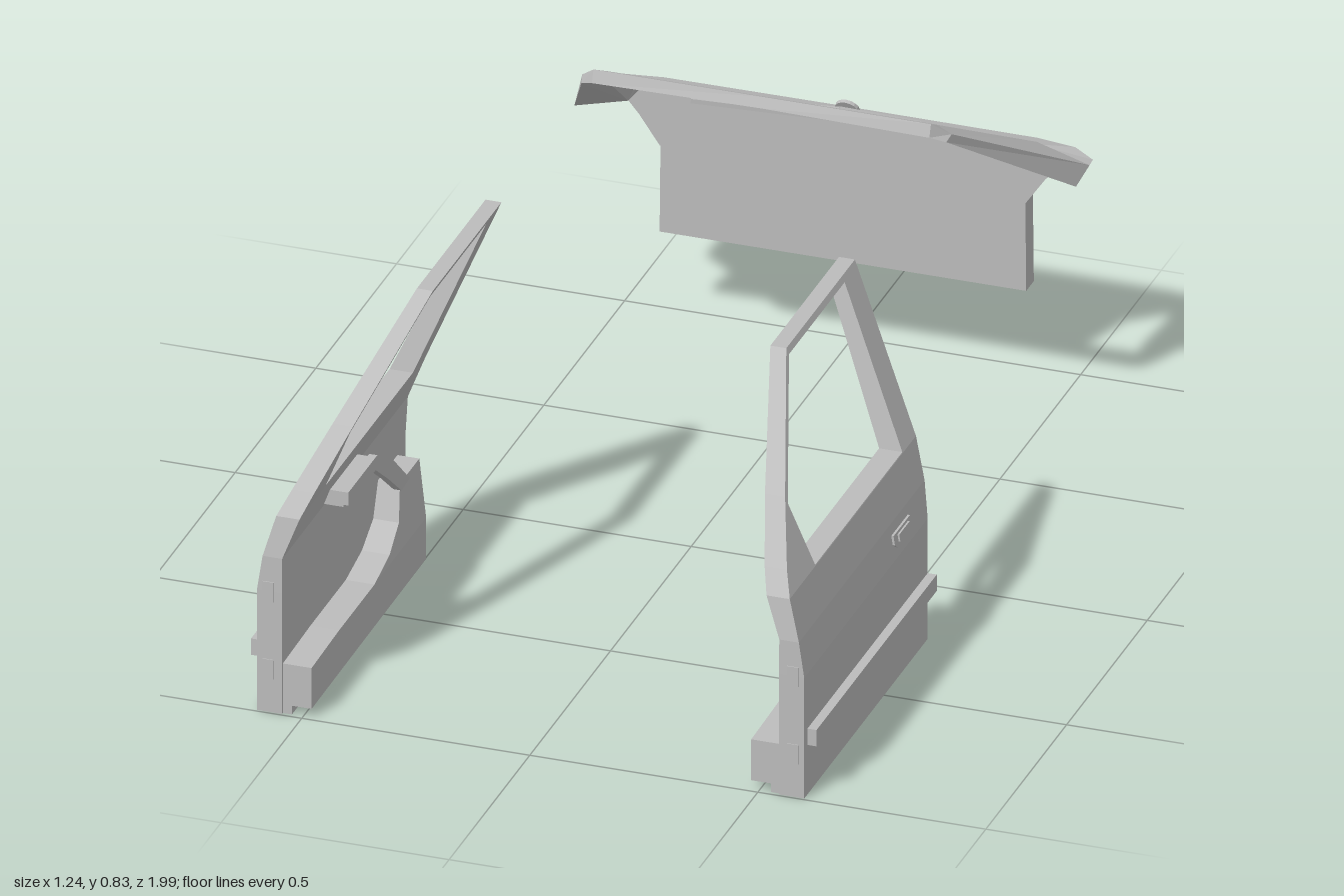
import * as THREE from 'three';

const grey = new THREE.MeshStandardMaterial({ color: 0xbcbcbc, side: THREE.DoubleSide });
grey.name = 'plain grey';

function mesh(name, geometry) {
  const g = geometry.index ? geometry.toNonIndexed() : geometry;
  g.computeVertexNormals();
  const m = new THREE.Mesh(g, grey);
  m.name = name;
  return m;
}

// Extrudes an outline to unit depth, then places every corner with map(u, v, depth).
function prism(name, outline, map, hole) {
  const shape = new THREE.Shape(outline.map(p => new THREE.Vector2(...p)));
  if (hole) shape.holes.push(new THREE.Path(hole.map(p => new THREE.Vector2(...p))));
  const g = new THREE.ExtrudeGeometry(shape, { depth: 1, bevelEnabled: false });
  const pos = g.attributes.position;
  for (let i = 0; i < pos.count; i++) pos.setXYZ(i, ...map(pos.getX(i), pos.getY(i), pos.getZ(i)));
  return mesh(name, g);
}

// Joins closed cross-sections into a closed ring.
function ringLoft(name, sections) {
  const n = sections[0].length, index = [];
  sections.forEach((_, i) => {
    const a = i * n, b = ((i + 1) % sections.length) * n;
    for (let j = 0; j < n; j++) {
      const k = (j + 1) % n;
      index.push(a + j, b + j, b + k, a + j, b + k, a + k);
    }
  });
  const g = new THREE.BufferGeometry();
  g.setAttribute('position', new THREE.Float32BufferAttribute(sections.flat(2), 3));
  g.setIndex(index);
  return mesh(name, g);
}

// Straight bar between two points.
function bar(name, from, to, width, height) {
  const a = new THREE.Vector3(...from), b = new THREE.Vector3(...to);
  const m = mesh(name, new THREE.BoxGeometry(width, height, a.distanceTo(b)));
  m.position.copy(a).lerp(b, 0.5);
  m.lookAt(b);
  return m;
}

// Piecewise linear lookup in a list of [key, value].
function lookup(table, t) {
  let i = 0;
  while (i < table.length - 2 && t > table[i + 1][0]) i++;
  const [a, b] = [table[i], table[i + 1]];
  return THREE.MathUtils.lerp(a[1], b[1], (t - a[0]) / (b[0] - a[0]));
}

// Door skin and lining: x by height.
const SKIN = [[0, 0.6], [0.28, 0.6], [0.36, 0.588], [0.45, 0.563], [0.8, 0.405]];
const LINING = [[0, 0.545], [0.37, 0.545], [0.45, 0.512], [0.8, 0.37]];
const FRONT = [[0, 0.995], [0.355, 0.995], [0.45, 0.98]];
const REAR = [[0, 0.23], [0.285, 0.23], [0.8, 0.13]];

function door() {
  const g = new THREE.Group();
  const shell = (z, y, d) => [THREE.MathUtils.lerp(lookup(SKIN, y), lookup(LINING, y), d), y, z];
  const slab = (outer, inner) => (z, y, d) => [THREE.MathUtils.lerp(outer, inner, d), y, z];

  // lower body in horizontal bands that follow the curved skin
  const levels = [0, 0.28, 0.36, 0.45];
  for (let i = 0; i < levels.length - 1; i++) {
    const [a, b] = [levels[i], levels[i + 1]];
    g.add(prism('doorPanel', [[lookup(REAR, a), a], [lookup(FRONT, a), a],
      [lookup(FRONT, b), b], [lookup(REAR, b), b]], shell));
  }
  // window frame
  g.add(prism('windowFrame',
    [[0.198, 0.45], [0.98, 0.45], [0.94, 0.495], [0.82, 0.598], [0.555, 0.8], [0.13, 0.8]], shell,
    [[0.28, 0.452], [0.21, 0.787], [0.555, 0.787], [0.82, 0.585], [0.82, 0.452]]));

  // rubbing strip and outer handle
  g.add(prism('sideStrip', [[0.23, 0.115], [0.975, 0.115], [0.975, 0.153], [0.23, 0.153]], slab(0.62, 0.598)));
  g.add(prism('outerHandle', [[0.335, 0.305], [0.42, 0.305], [0.432, 0.315], [0.432, 0.336], [0.33, 0.336], [0.33, 0.315]],
    (z, y, d) => [lookup(SKIN, y) + 0.005 - d * 0.008, y, z]));
  g.add(prism('handleLever', [[0.345, 0.314], [0.41, 0.314], [0.41, 0.33], [0.345, 0.33]],
    (z, y, d) => [lookup(SKIN, y) + 0.009 - d * 0.008, y, z]));

  // inner sill, storage pocket and raised armrest
  g.add(prism('innerSill', [[0.23, 0], [0.99, 0], [0.99, 0.025], [0.23, 0.025]], slab(0.55, 0.525)));
  g.add(prism('doorPocket', [[0.28, 0.025], [0.99, 0.02], [0.99, 0.115], [0.82, 0.12], [0.28, 0.12]], slab(0.55, 0.482)));
  g.add(prism('armrest', [[0.28, 0.12], [0.6, 0.12], [0.5, 0.14], [0.43, 0.18], [0.4, 0.255], [0.28, 0.255]],
    (z, y, d) => [THREE.MathUtils.lerp(0.55, lookup([[0.12, 0.482], [0.255, 0.497]], y), d), y, z]));

  // pull handle curving down to the armrest
  g.add(prism('pullHandle', [[0.74, 0.37], [0.74, 0.4], [0.56, 0.4], [0.46, 0.34], [0.36, 0.25],
    [0.41, 0.245], [0.49, 0.31], [0.57, 0.37]], slab(0.508, 0.49)));
  g.add(prism('pullHandleMount', [[0.57, 0.365], [0.74, 0.365], [0.74, 0.4], [0.57, 0.4]], slab(0.55, 0.5)));

  // hinges on the front edge
  for (const y of [0.1, 0.28]) {
    const hinge = mesh('hinge', new THREE.BoxGeometry(0.025, 0.045, 0.008));
    hinge.position.set(0.575, y, 0.993);
    g.add(hinge);
  }
  return g;
}

function tailgate() {
  const g = new THREE.Group();
  g.name = 'tailgate';
  // window surround: outer edge, hole edge, hole underside, outer underside
  const half = [
    [[0, 0.832, -0.44], [0, 0.806, -0.49], [0, 0.798, -0.485], [0, 0.81, -0.43]],
    [[0.37, 0.832, -0.44], [0.355, 0.806, -0.49], [0.355, 0.798, -0.485], [0.37, 0.805, -0.43]],
    [[0.405, 0.8, -0.47], [0.362, 0.8, -0.5], [0.365, 0.79, -0.49], [0.4, 0.79, -0.45]],
    [[0.555, 0.545, -0.9], [0.436, 0.574, -0.91], [0.45, 0.532, -0.88], [0.55, 0.528, -0.83]],
    [[0.55, 0.54, -0.935], [0.434, 0.562, -0.92], [0.44, 0.54, -0.92], [0.535, 0.528, -0.91]],
    [[0.5, 0.545, -0.967], [0.41, 0.56, -0.922], [0.41, 0.545, -0.92], [0.49, 0.528, -0.94]],
    [[0.41, 0.54, -0.99], [0.35, 0.56, -0.925], [0.35, 0.545, -0.92], [0.4, 0.528, -0.94]],
    [[0, 0.54, -0.992], [0, 0.56, -0.925], [0, 0.545, -0.92], [0, 0.528, -0.94]],
  ];
  const other = half.slice(1, -1).reverse().map(s => s.map(([x, y, z]) => [-x, y, z]));
  g.add(ringLoft('rearWindowFrame', [...half, ...other]));

  // lower panel with a recess for the plate
  const layer = (back, front) => (x, y, d) => [x, y, THREE.MathUtils.lerp(back, front, d)];
  const body = [[-0.402, 0.207], [0.402, 0.207], [0.4, 0.41], [-0.4, 0.41]];
  g.add(prism('innerPanel', body, layer(-0.968, -0.94)));
  g.add(prism('outerPanel', body, layer(-0.987, -0.968),
    [[-0.19, 0.27], [0.19, 0.27], [0.235, 0.39], [-0.235, 0.39]]));

  // flared waist and lip under the window
  const BACK = [[0.41, -0.987], [0.475, -0.965], [0.51, -0.985], [0.54, -0.992]];
  const waist = [[0.4, 0.41], [0.445, 0.475], [0.475, 0.51], [0.49, 0.535]];
  for (let i = 0; i < 3; i++) {
    const [[a, ya], [b, yb]] = [waist[i], waist[i + 1]];
    g.add(prism('waist', [[-a, ya], [a, ya], [b, yb], [-b, yb]], (x, y, d) => {
      const back = lookup(BACK, y) + Math.max(0, Math.abs(x) - 0.4) * 0.2;
      return [x, y, THREE.MathUtils.lerp(back, -0.935, d)];
    }));
  }
  // plain round boss
  const boss = mesh('roundBoss', new THREE.CylinderGeometry(0.026, 0.026, 0.008, 16));
  boss.rotation.x = -1.1;
  boss.position.set(0, 0.548, -0.968);
  g.add(boss);

  // wiper
  g.add(bar('wiperBlade', [-0.28, 0.606, -0.79], [0.06, 0.578, -0.868], 0.008, 0.01));
  g.add(bar('wiperArm', [-0.12, 0.608, -0.825], [0.02, 0.6, -0.863], 0.008, 0.01));
  g.add(bar('wiperArm', [0.02, 0.6, -0.863], [0.17, 0.555, -0.94], 0.012, 0.01));
  return g;
}

export function createModel() {
  const model = new THREE.Group();
  const left = door(), right = door();
  left.name = 'leftDoor';
  right.name = 'rightDoor';
  right.scale.x = -1;
  model.add(left, right, tailgate());
  return model;
}
